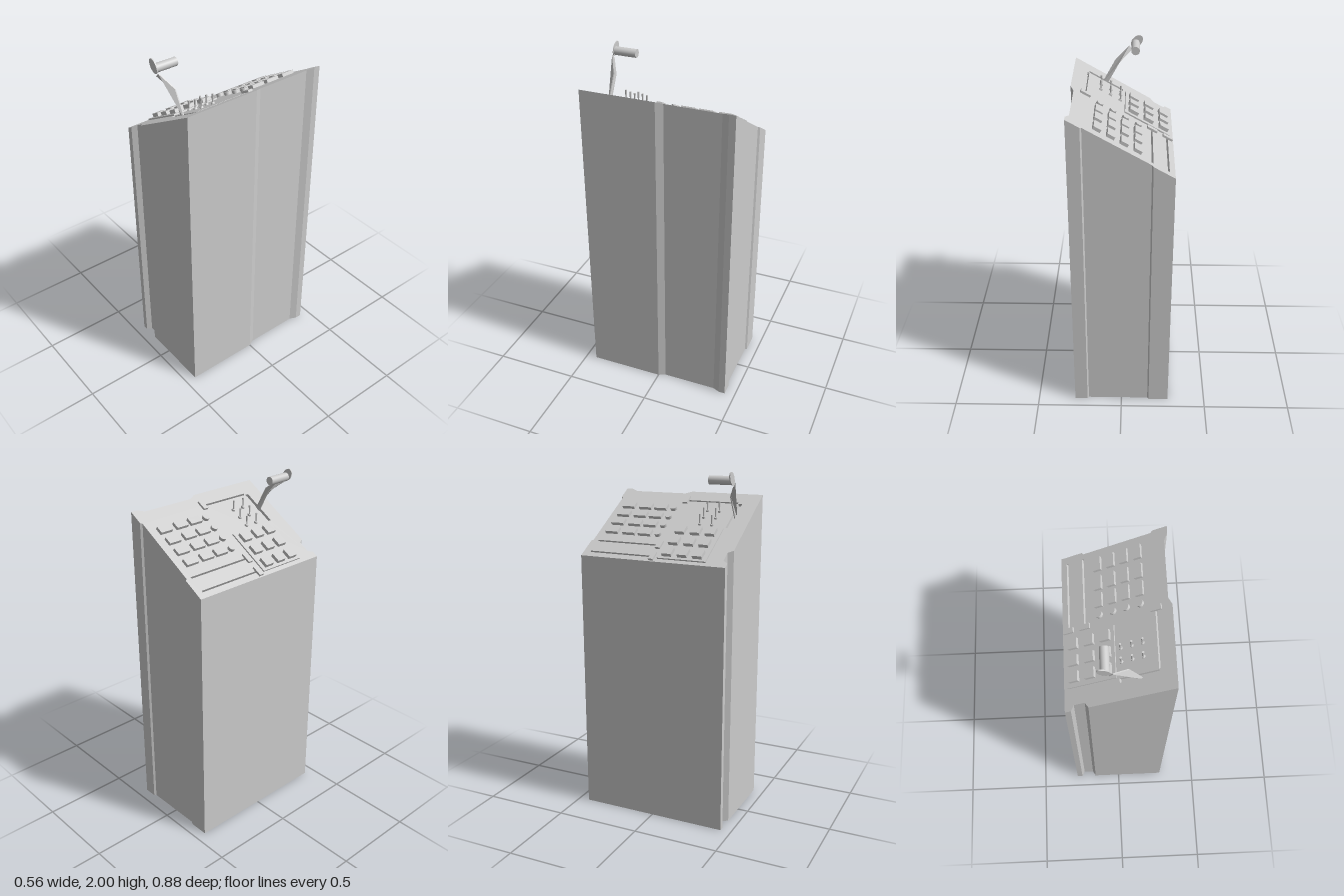
import * as THREE from 'three';

const TILT = Math.PI / 6, S = Math.sin(TILT), C = Math.cos(TILT), T = Math.tan(TILT);
const MID = 1.687;    // height of the sloped top at x = 0
const LAYER = 0.02;   // vertical thickness of the slotted top

const mat = new THREE.MeshStandardMaterial({ color: 0xcccccc });

function add(parent, name, geometry) {
  const mesh = new THREE.Mesh(geometry, mat);
  mesh.name = name;
  parent.add(mesh);
  return mesh;
}

// Floor plan in x, z
const PLAN = [
  [-0.28, 0.437], [-0.248, 0.437], [-0.232, 0.408], [-0.175, 0.408], [-0.157, 0.437],
  [0.28, 0.437], [0.28, 0], [0.262, -0.04], [0.262, -0.36], [0.28, -0.4], [0.28, -0.438],
  [0.206, -0.438], [0.198, -0.427], [-0.157, -0.427], [-0.165, -0.438], [-0.28, -0.438],
];

// Slots in the top: x0, x1, z0, z1
const SLOTS = [
  [-0.25, -0.24, -0.398, 0], [-0.165, -0.155, -0.398, 0],
  [0.197, 0.207, 0.01, 0.317], [0.005, 0.197, 0.322, 0.345],
];

const planShape = () => new THREE.Shape(PLAN.map(([x, z]) => new THREE.Vector2(x, -z)));

// Extrude a plan upwards, then move its vertices by a rule
function prism(shape, height, rule) {
  const g = new THREE.ExtrudeGeometry(shape, { depth: height, bevelEnabled: false });
  g.rotateX(-Math.PI / 2);
  const p = g.attributes.position, v = new THREE.Vector3();
  for (let i = 0; i < p.count; i++) {
    rule(v.fromBufferAttribute(p, i));
    p.setXYZ(i, v.x, v.y, v.z);
  }
  g.computeVertexNormals();
  return g;
}

function buildCabinet(root) {
  add(root, 'cabinet', prism(planShape(), 1, v => {
    v.y = v.y > 0.5 ? MID - LAYER + v.x * T : 0;
  }));

  // Slotted top, with slot walls square to the slope
  const top = planShape();
  for (const [x0, x1, z0, z1] of SLOTS) {
    top.holes.push(new THREE.Path([
      new THREE.Vector2(x0, -z0), new THREE.Vector2(x1, -z0),
      new THREE.Vector2(x1, -z1), new THREE.Vector2(x0, -z1),
    ]));
  }
  add(root, 'slottedTop', prism(top, LAYER, v => {
    const inner = Math.abs(v.z) < 0.4 && v.x > -0.27 && v.x < 0.25;
    if (inner && v.y < LAYER / 2) v.x += LAYER * C * S;
    v.y += MID - LAYER + v.x * T;
  }));
}

// Box on the slope: x0 is the plan position of its upper left edge,
// x1 of its lower right edge; it rises from v0 to v1
function slopeBox(deck, name, x0, x1, zc, depth, v0, v1) {
  const u0 = (x0 + v1 * S) / C, u1 = (x1 + v0 * S) / C;
  const m = add(deck, name, new THREE.BoxGeometry(u1 - u0, v1 - v0, depth));
  m.position.set((u0 + u1) / 2, (v0 + v1) / 2, zc);
}

function buildControls(root) {
  const deck = new THREE.Group();
  deck.name = 'controls';
  deck.position.y = MID;
  deck.rotation.z = TILT;
  root.add(deck);

  // Key pad
  slopeBox(deck, 'keyPanel', -0.262, -0.009, 0.173, 0.286, 0, 0.008);
  for (const x of [-0.199, -0.115, -0.031])
    for (const z of [0.082, 0.174, 0.263])
      slopeBox(deck, 'squareKey', x - 0.059, x, z, 0.056, 0.008, 0.028);

  // Rows of long buttons with a dial below each column
  for (const x of [-0.061, 0.009, 0.078, 0.148]) {
    for (const z of [-0.338, -0.228, -0.129])
      slopeBox(deck, 'longButton', x - 0.048, x, z, 0.078, 0, 0.018);
    const dial = add(deck, 'dial', new THREE.CylinderGeometry(0.02, 0.02, 0.018, 24));
    dial.position.set((x - 0.021) / C, 0.009, -0.049);
  }

  // Sliders
  for (const x of [-0.279, -0.193, 0.17])
    slopeBox(deck, 'sliderKnob', x, x + 0.059, -0.002, 0.029, 0, 0.012);

  // Upright toggle switches
  for (const x of [0.018, 0.073, 0.127])
    for (const z of [0.163, 0.236]) {
      const base = add(deck, 'toggleBase', new THREE.CylinderGeometry(0.009, 0.011, 0.01, 16));
      base.position.set(x / C, 0.005, z);
      const stick = add(root, 'toggleStick', new THREE.CylinderGeometry(0.006, 0.003, 0.055, 12));
      stick.position.set(x - 0.004, MID + x * T + 0.031, z);
    }
}

function buildLever(root) {
  const lever = new THREE.Group();
  lever.name = 'lever';
  root.add(lever);

  // Flat arm, bent outwards towards its end
  const arm = new THREE.ExtrudeGeometry(new THREE.Shape([
    [0.127, 1.727], [0.047, 1.873], [-0.031, 1.941], [-0.049, 1.919], [0.023, 1.857], [0.103, 1.713],
  ].map(([x, y]) => new THREE.Vector2(x, y))), { depth: 0.006, bevelEnabled: false });
  const p = arm.attributes.position;
  for (let i = 0; i < p.count; i++) {
    const bend = THREE.MathUtils.clamp((0.023 - p.getX(i)) / 0.054, 0, 1);
    p.setZ(i, p.getZ(i) + 0.338 + 0.044 * bend);
  }
  arm.computeVertexNormals();
  add(lever, 'leverArm', arm);

  // Oval end plate
  const oval = new THREE.Shape();
  oval.absellipse(0, 0, 0.042, 0.027, 0, Math.PI * 2, false, 0);
  const plate = add(lever, 'leverPlate',
    new THREE.ExtrudeGeometry(oval, { depth: 0.006, bevelEnabled: false, curveSegments: 16 }));
  plate.position.set(-0.074, 1.965, 0.382);
  plate.rotation.z = THREE.MathUtils.degToRad(130);

  // Hand grip
  const grip = add(lever, 'leverGrip', new THREE.CylinderGeometry(0.024, 0.024, 0.13, 24));
  grip.rotation.x = Math.PI / 2;
  grip.position.set(-0.067, 1.954, 0.319);
}

export function createModel() {
  const root = new THREE.Group();
  root.name = 'controlPodium';
  buildCabinet(root);
  buildControls(root);
  buildLever(root);
  return root;
}
